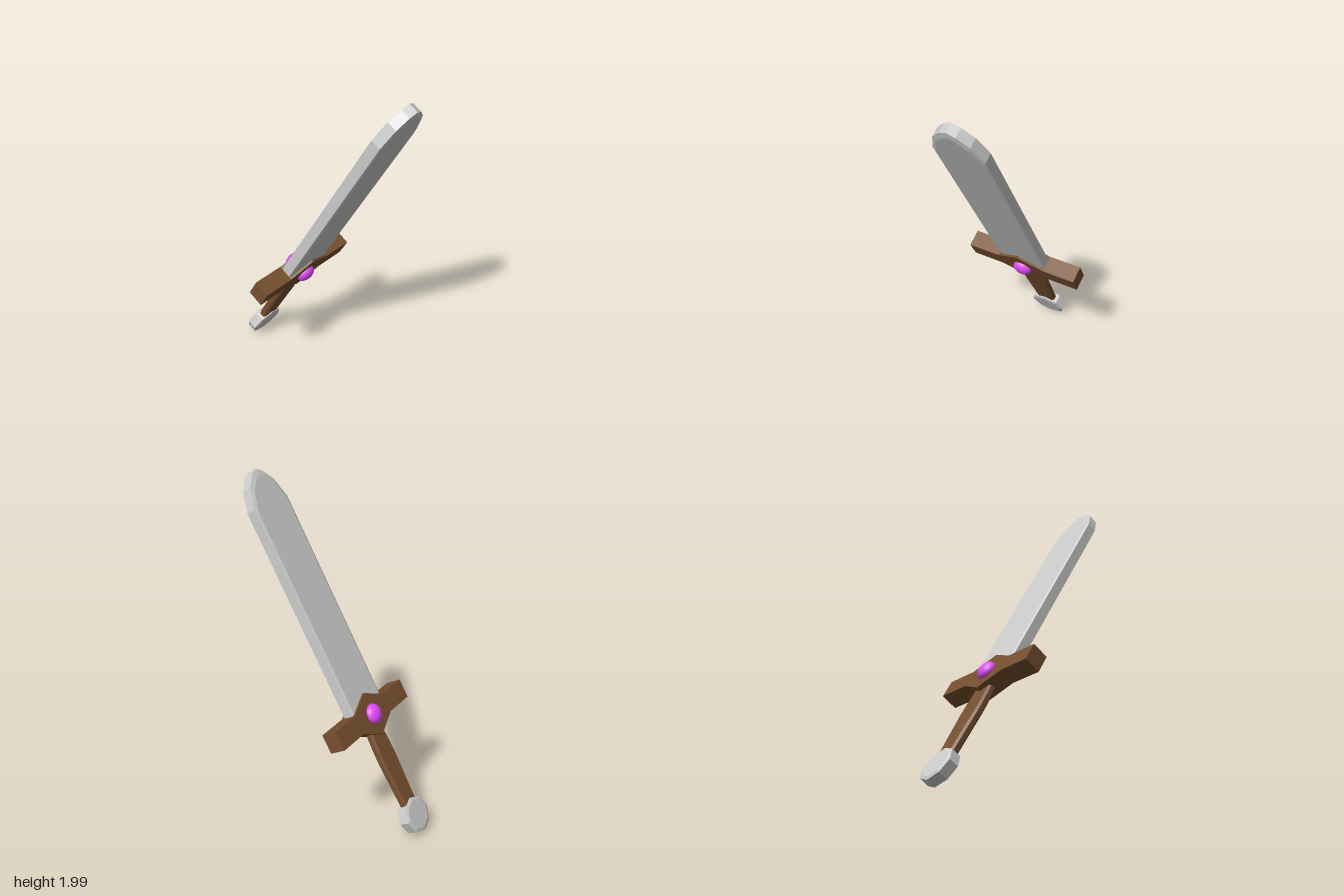
import * as THREE from 'three';

const STEEL = 0xcccccc, WOOD = 0x774f2f, GEM = 0xe04cf8;

const material = (color, flatShading) => new THREE.MeshStandardMaterial({ color, flatShading });

// mirrors the right half of an outline (bottom to top, x > 0) into a closed shape
function mirrored(half) {
  const left = half.filter(([x]) => x > 0).map(([x, y]) => [-x, y]).reverse();
  return new THREE.Shape([...half, ...left].map(([x, y]) => new THREE.Vector2(x, y)));
}

// plate centred on z = 0 with chamfered faces: edge and face are half thicknesses
function plate(shape, edge, face, inset) {
  const geo = new THREE.ExtrudeGeometry(shape, {
    depth: 2 * edge, bevelEnabled: inset > 0, bevelSegments: 1,
    bevelSize: inset, bevelOffset: -inset, bevelThickness: face - edge,
  });
  return geo.translate(0, 0, -edge);
}

export function createModel() {
  const model = new THREE.Group();
  const sword = new THREE.Group();
  sword.name = 'sword';
  const add = (name, geo, color, flat = true) => {
    const mesh = new THREE.Mesh(geo, material(color, flat));
    mesh.name = name;
    sword.add(mesh);
    return mesh;
  };

  // blade, with the chamfer widened towards the tip
  const blade = plate(mirrored([
    [0.15, 0], [0.15, 1.308], [0.106, 1.425], [0.046, 1.487], [0, 1.509],
  ]), 0.029, 0.036, 0.014);
  const p = blade.attributes.position;
  for (let i = 0; i < p.count; i++) {
    if (Math.abs(p.getZ(i)) > 0.032 && p.getY(i) > 1) p.setY(i, p.getY(i) - 0.022);
  }
  blade.computeVertexNormals();
  add('blade', blade, STEEL);

  // crossguard with a diamond-shaped middle
  add('guard', plate(mirrored([
    [0, -0.13], [0.15, -0.057], [0.35, -0.057], [0.35, 0.057], [0.15, 0.057], [0, 0.13],
  ]), 0.05, 0.05, 0), WOOD);

  // gems on both faces of the guard
  for (const side of [1, -1]) {
    const gem = add(side > 0 ? 'frontGem' : 'backGem', new THREE.SphereGeometry(1, 32, 20), GEM, false);
    gem.scale.set(0.058, 0.058, 0.04);
    gem.position.z = side * 0.05;
  }

  // grip, swelling slightly below the guard
  add('grip', plate(mirrored([
    [0.058, -0.6], [0.064, -0.46], [0.073, -0.29], [0.071, -0.2], [0.062, -0.08],
  ]), 0.012, 0.024, 0.012), WOOD);

  // octagonal pommel
  const octagon = Array.from({ length: 8 }, (_, i) => {
    const a = i * Math.PI / 4;
    return new THREE.Vector2(0.11 * Math.cos(a), -0.654 + 0.107 * Math.sin(a));
  });
  add('pommel', plate(new THREE.Shape(octagon), 0.029, 0.036, 0.017), STEEL);

  // the whole sword leans forward
  sword.rotation.x = Math.PI / 6;
  sword.position.set(0, 0.674, -0.186);
  model.add(sword);
  return model;
}
